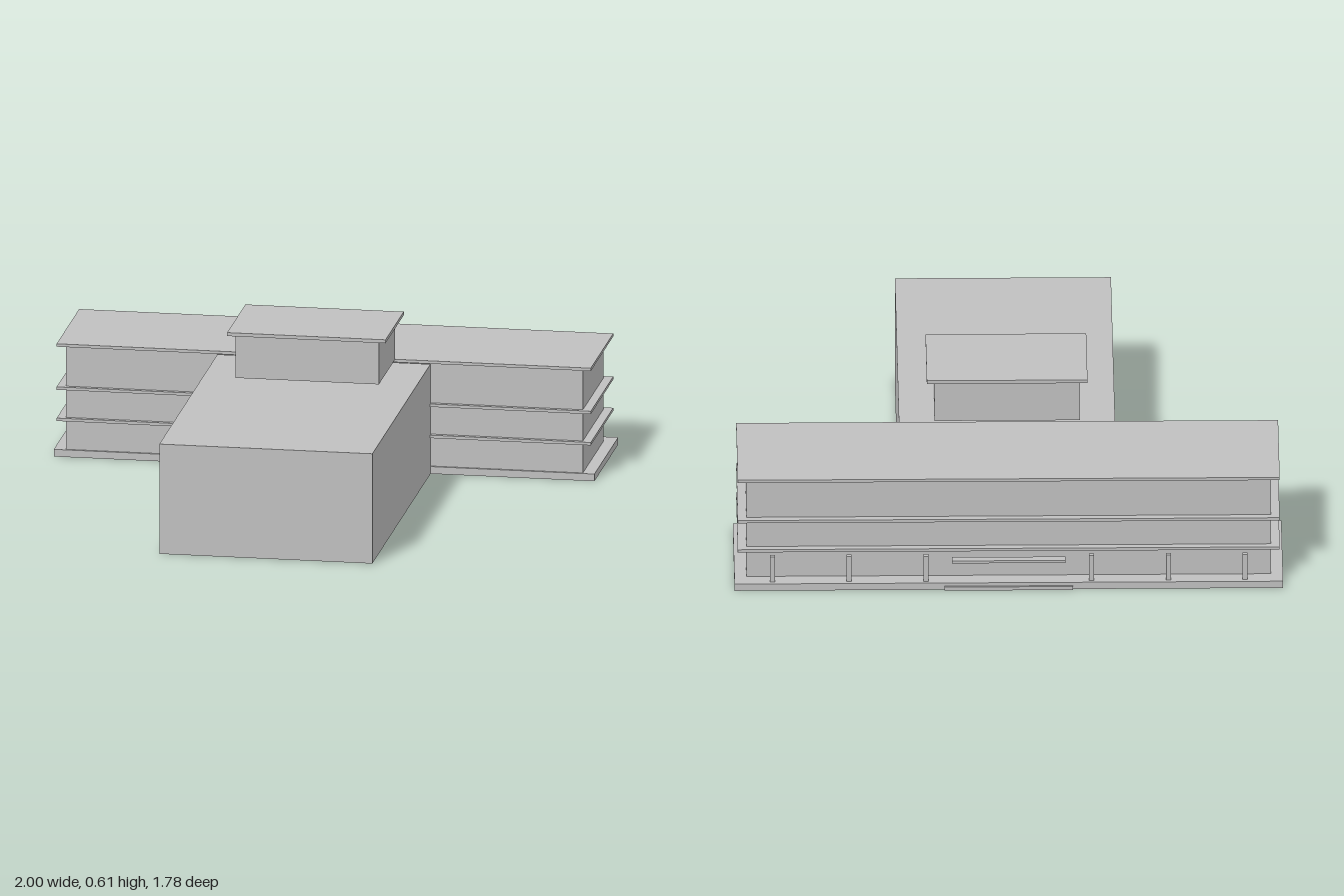
import * as THREE from 'three';

export function createModel() {
  const group = new THREE.Group();
  group.name = 'building';
  const concrete = new THREE.MeshStandardMaterial({ color: 0xc0c0c0 });
  concrete.name = 'concrete grey';

  // Box given by its extents on each axis
  function block(name, [x0, x1], [y0, y1], [z0, z1]) {
    const mesh = new THREE.Mesh(new THREE.BoxGeometry(x1 - x0, y1 - y0, z1 - z0), concrete);
    mesh.position.set((x0 + x1) / 2, (y0 + y1) / 2, (z0 + z1) / 2);
    mesh.name = name;
    group.add(mesh);
  }

  // Long hall reaching forward
  block('hall', [-0.394, 0.394], [0, 0.415], [-0.359, 0.889]);

  // Wide three-storey block on its plinth
  block('plinth', [-1, 1], [0, 0.027], [-0.874, -0.362]);
  block('mainBlock', [-0.956, 0.956], [0.027, 0.42], [-0.81, -0.37]);

  // Projecting floor slabs and roof
  [0.137, 0.255, 0.418].forEach((y, i) =>
    block(i === 2 ? 'roofSlab' : 'floorSlab', [-0.988, 0.988], [y, y + 0.011], [-0.837, -0.354]));

  // Rooftop room with overhanging roof
  block('rooftopRoom', [-0.265, 0.265], [0.43, 0.592], [-0.347, 0]);
  block('rooftopRoof', [-0.293, 0.293], [0.592, 0.605], [-0.373, 0.019]);

  // Row of short pillars along the entrance side
  for (const side of [-1, 1]) {
    for (const x of [0.302, 0.583, 0.861]) {
      block('pillar', [side * x - 0.009, side * x + 0.009], [0.027, 0.128], [-0.859, -0.841]);
    }
  }

  // Entrance step and canopy
  block('entranceStep', [-0.234, 0.234], [0, 0.014], [-0.882, -0.874]);
  block('entranceCanopy', [-0.207, 0.207], [0.113, 0.123], [-0.889, -0.857]);

  return group;
}
